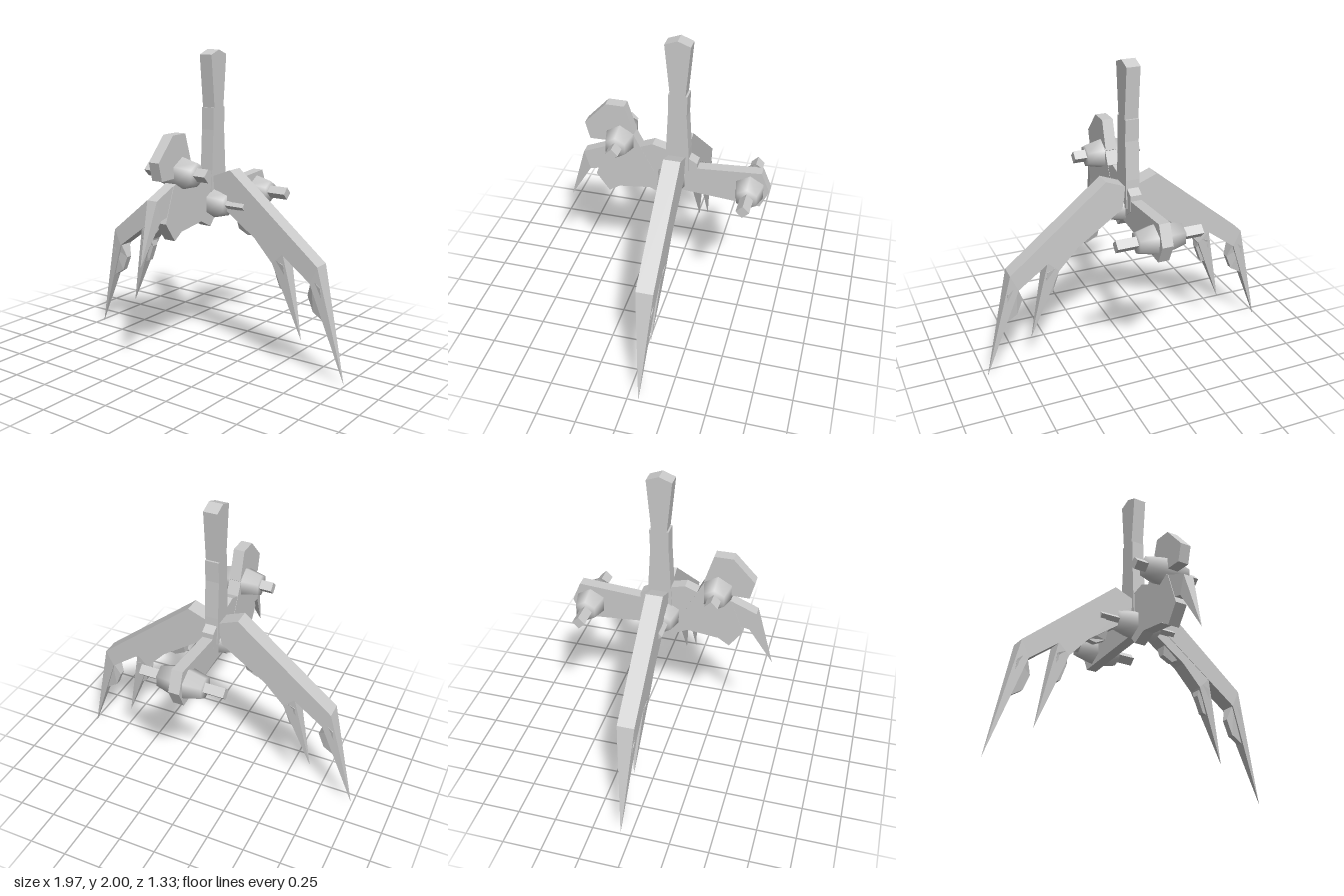
import * as THREE from 'three';

const material = new THREE.MeshStandardMaterial({ color: 0xcccccc, flatShading: true });
const smooth = new THREE.MeshStandardMaterial({ color: 0xcccccc });

// Plate from an outline of [u, v, scale]; scale tapers the thickness at that corner.
function plateGeometry(points, half) {
  const shape = new THREE.Shape(points.map(([u, v]) => new THREE.Vector2(u, v)));
  const geo = new THREE.ExtrudeGeometry(shape, { depth: 2 * half, bevelEnabled: false });
  geo.translate(0, 0, -half);
  const pos = geo.attributes.position;
  for (let i = 0; i < pos.count; i++) {
    const p = points.find(([u, v]) => Math.hypot(u - pos.getX(i), v - pos.getY(i)) < 1e-4);
    if (p) pos.setZ(i, pos.getZ(i) * (p[2] ?? 1));
  }
  geo.computeVertexNormals();
  return geo;
}

function addMesh(parent, name, geo, mat = material) {
  const mesh = new THREE.Mesh(geo, mat);
  mesh.name = name;
  parent.add(mesh);
  return mesh;
}

// Upright centre plate, outline given as [z, y].
function keelPlate(parent, name, points, half) {
  addMesh(parent, name, plateGeometry(points, half).rotateY(-Math.PI / 2));
}

// Six-sided barrel lying across the model, with a square bar through it.
function engine(parent, name, y, z, reach) {
  const group = new THREE.Group();
  group.name = name;
  const profile = [[0, -0.148], [0.072, -0.148], [0.1, -0.04], [0.1, 0.04], [0.072, 0.148], [0, 0.148]]
    .map(([r, h]) => new THREE.Vector2(r, h));
  const barrel = new THREE.LatheGeometry(profile, 6);
  barrel.rotateY(Math.PI / 2).rotateZ(Math.PI / 2);
  addMesh(group, 'engineBarrel', barrel, smooth);
  const bar = new THREE.CylinderGeometry(0.042, 0.042, reach * 2, 4);
  addMesh(group, 'engineBar', bar.rotateZ(Math.PI / 2));
  group.position.set(0, y, z);
  parent.add(group);
}

export function createModel() {
  const model = new THREE.Group();
  model.name = 'walkerCraft';

  // Tall two-piece fin
  keelPlate(model, 'upperFin', [
    [-0.07, 2], [0.01, 1.97], [-0.025, 1.63], [-0.12, 1.63], [-0.15, 1.97],
  ], 0.045);
  keelPlate(model, 'lowerFin', [
    [-0.012, 1.64], [-0.012, 1.5], [0, 1.25], [0.01, 1.06], [-0.15, 1.06], [-0.145, 1.25], [-0.13, 1.5], [-0.134, 1.64],
  ], 0.045);

  // Central hull and rear boom
  keelPlate(model, 'hull', [
    [0.2, 1.22], [0.09, 1.265], [-0.12, 1.21], [-0.2, 1.165], [-0.2, 1.06], [-0.05, 0.95],
    [0.01, 0.88], [0.11, 0.93], [0.31, 0.905],
  ], 0.038);
  keelPlate(model, 'rearBoom', [
    [0, 1.12], [-0.2, 1.13], [-0.61, 1.16], [-0.665, 1.03], [-0.61, 0.91], [-0.1, 0.95], [0, 0.96],
  ], 0.036);

  // Front plates and beak
  keelPlate(model, 'headPlate', [
    [0.53, 1.36], [0.39, 1.51], [0.27, 1.51], [0.21, 1.32], [0.28, 1.25], [0.5, 1.245],
  ], 0.037);
  keelPlate(model, 'chestPlate', [
    [0.39, 1.2], [0.22, 1.33], [0.08, 1.06], [0.385, 0.86], [0.47, 0.98],
  ], 0.04);
  keelPlate(model, 'frontSpike', [
    [0.28, 1.25], [0.55, 1.135], [0.665, 0.75, 0.02], [0.51, 1.01], [0.36, 1.04],
  ], 0.036);

  engine(model, 'frontEngine', 1.27, 0.3, 0.23);
  engine(model, 'middleEngine', 1.03, -0.035, 0.28);
  engine(model, 'rearEngine', 1.03, -0.54, 0.28);

  // Paired folded wings with bulges along their inner edges
  const wingParts = {
    outerWing: [[0.03, 1.2], [0.17, 1.255], [0.81, 0.73], [0.985, 0, 0.02], [0.76, 0.62], [0.06, 1.14]],
    innerWing: [[0.04, 1.17], [0.3, 1.0], [0.565, 0.77], [0.68, 0.22, 0.02], [0.49, 0.7], [0.36, 0.84], [0.06, 1.05]],
    outerWingBulge: [[0.77, 0.65], [0.73, 0.53, 0.4], [0.77, 0.43, 0.4], [0.85, 0.38, 0.4], [0.83, 0.6]],
    innerWingBulge: [[0.5, 0.73], [0.49, 0.65, 0.4], [0.53, 0.54, 0.4], [0.58, 0.52, 0.4], [0.57, 0.7]],
    rootBulge: [[0.19, 1.0], [0.215, 0.97], [0.22, 0.88, 0.4], [0.29, 0.845, 0.4], [0.36, 0.86, 0.4], [0.4, 0.8], [0.4, 0.9]],
  };
  for (const side of [1, -1]) {
    const wing = new THREE.Group();
    wing.name = side > 0 ? 'leftWing' : 'rightWing';
    wing.position.z = -0.07;
    for (const [name, points] of Object.entries(wingParts)) {
      const half = name === 'outerWing' ? 0.055 : 0.052;
      addMesh(wing, name, plateGeometry(points.map(([x, y, s]) => [x * side, y, s]), half));
    }
    model.add(wing);
  }
  return model;
}
